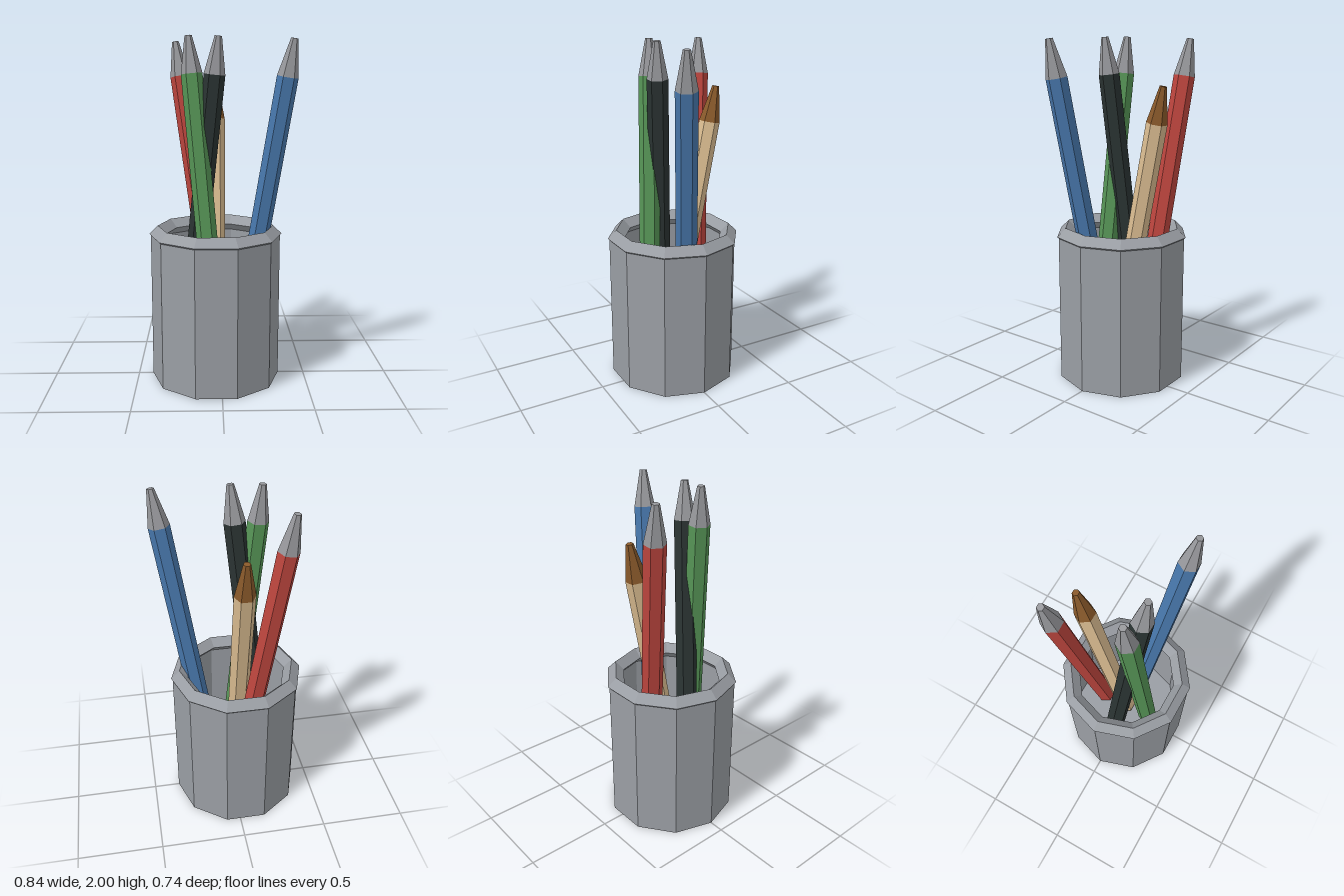
import * as THREE from 'three';

const mat = (name, color) => new THREE.MeshStandardMaterial({ name, color, flatShading: true });

const CUP_X = -0.034;
const BASE_Y = 0.3;
const PENCIL_RADIUS = 0.06;

// Ten-sided turned shape with corners on the x axis
function turned(name, profile, material) {
  const points = profile.map(([r, y]) => new THREE.Vector2(r, y));
  const mesh = new THREE.Mesh(new THREE.LatheGeometry(points, 10, Math.PI / 10), material);
  mesh.name = name;
  mesh.position.x = CUP_X;
  return mesh;
}

// Six-sided pencil from its base centre to the shoulder below the point
function pencil(name, base, shoulder, length, bodyMat, tipMat) {
  const group = new THREE.Group();
  group.name = name;
  const dx = shoulder[0] - base[0];
  const dz = shoulder[1] - base[1];
  const dir = new THREE.Vector3(dx, Math.sqrt(length * length - dx * dx - dz * dz), dz).normalize();
  const tipLength = 0.207;

  const bodyGeo = new THREE.CylinderGeometry(PENCIL_RADIUS, PENCIL_RADIUS, length, 6, 1, false, Math.PI / 6);
  const body = new THREE.Mesh(bodyGeo, bodyMat);
  body.name = name + 'Body';
  body.position.y = length / 2;

  const tipGeo = new THREE.CylinderGeometry(0.02, PENCIL_RADIUS, tipLength, 6, 1, false, Math.PI / 6);
  const tip = new THREE.Mesh(tipGeo, tipMat);
  tip.name = name + 'Tip';
  tip.position.y = length + tipLength / 2;

  group.add(body, tip);
  group.position.set(base[0], BASE_Y, base[1]);
  group.quaternion.setFromUnitVectors(new THREE.Vector3(0, 1, 0), dir);
  return group;
}

export function createModel() {
  const model = new THREE.Group();
  model.name = 'pencilCup';

  const grey = mat('cup grey', 0x9a9ea4);
  const tipGrey = mat('tip grey', 0x98999d);
  const brown = mat('wood brown', 0x8a5a2b);
  const red = mat('red', 0xbf463f);
  const green = mat('green', 0x579657);
  const blue = mat('blue', 0x4878ad);
  const black = mat('black', 0x2b3433);
  const tan = mat('tan', 0xdcbe92);

  // Hollow cup and its diamond-section rim
  model.add(turned('cup', [[0, 0], [0.38, 0], [0.38, 0.87], [0.33, 0.87], [0.33, 0.28], [0, 0.28]], grey));
  model.add(turned('rim', [[0.338, 0.82], [0.389, 0.87], [0.338, 0.92], [0.289, 0.87], [0.338, 0.82]], grey));

  // Leaning pencils: base and shoulder as [x, z]
  model.add(
    pencil('bluePencil', [0.129, 0], [0.36, 0.138], 1.5, blue, tipGrey),
    pencil('greenPencil', [-0.034, 0.16], [-0.165, 0.082], 1.5, green, tipGrey),
    pencil('blackPencil', [-0.192, 0], [-0.039, 0.094], 1.5, black, tipGrey),
    pencil('redPencil', [-0.034, -0.16], [-0.242, -0.284], 1.5, red, tipGrey),
    pencil('tanPencil', [-0.034, 0], [-0.034, -0.241], 1.25, tan, brown),
  );
  return model;
}
